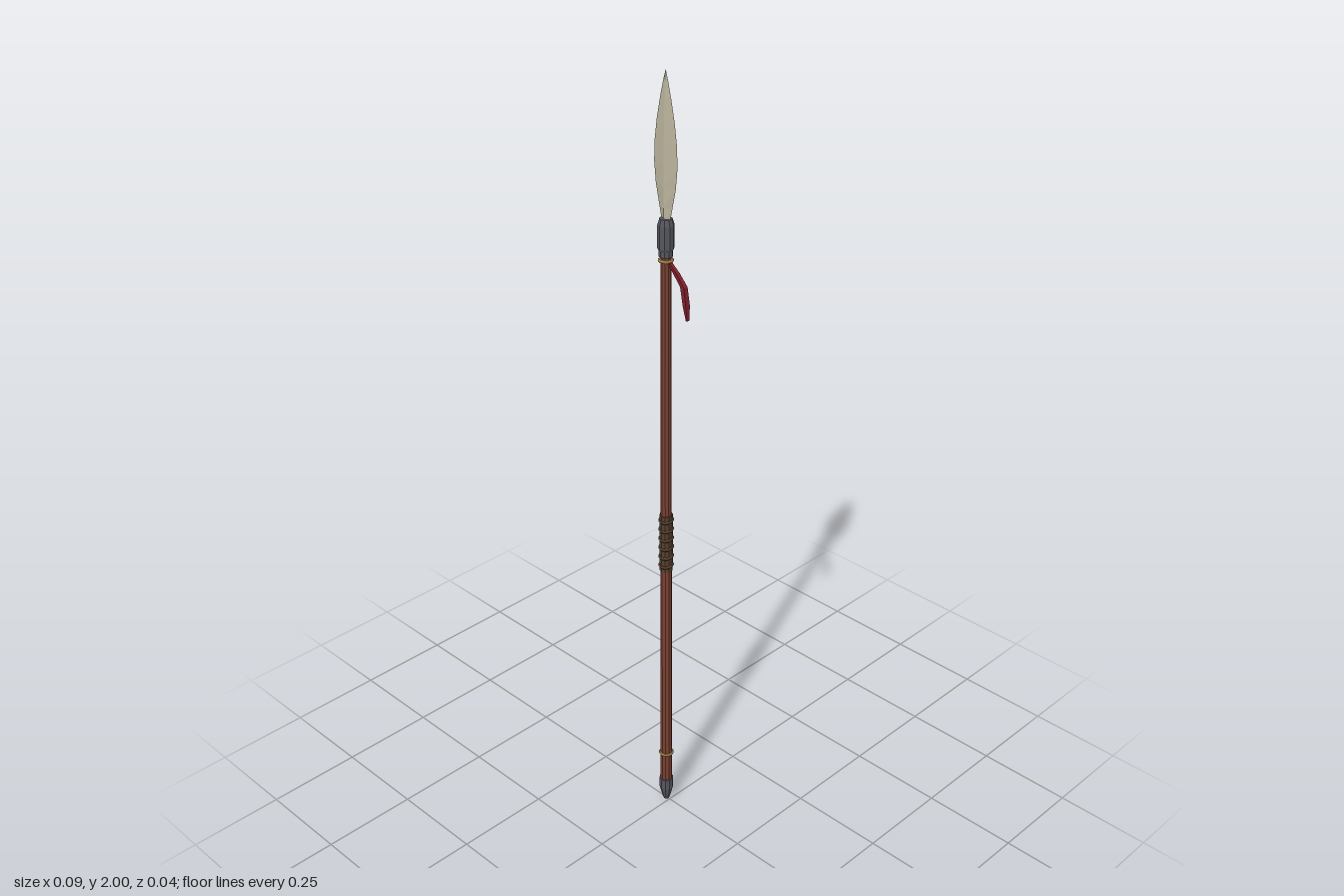
import * as THREE from 'three';

const AXIS_X = -0.012;

function mat(color, flat = true) {
  return new THREE.MeshStandardMaterial({ color, flatShading: flat });
}

// Skin a list of equal-length rings (counter-clockwise seen from the last ring), closing both ends.
function loft(rings) {
  const n = rings[0].length;
  const index = [];
  for (let r = 0; r < rings.length - 1; r++) {
    for (let i = 0; i < n; i++) {
      const a = r * n + i, b = r * n + (i + 1) % n;
      index.push(a, b, b + n, a, b + n, a + n);
    }
  }
  const last = (rings.length - 1) * n;
  for (let i = 1; i < n - 1; i++) {
    index.push(0, i + 1, i, last, last + i, last + i + 1);
  }
  const g = new THREE.BufferGeometry();
  g.setAttribute('position', new THREE.Float32BufferAttribute(rings.flat(2), 3));
  g.setIndex(index);
  g.computeVertexNormals();
  return g;
}

export function createModel() {
  const spear = new THREE.Group();
  spear.name = 'spear';
  const wood = mat(0x7a4030), iron = mat(0x55555e), brass = mat(0xb08a50);
  const leather = mat(0x54402f), steel = mat(0xb9b29c), cloth = mat(0x84202c);

  const add = (name, geometry, material, x = AXIS_X, y = 0) => {
    const mesh = new THREE.Mesh(geometry, material);
    mesh.name = name;
    mesh.position.set(x, y, 0);
    spear.add(mesh);
    return mesh;
  };
  const turned = (points) =>
    new THREE.LatheGeometry(points.map(([r, y]) => new THREE.Vector2(r, y)), 10);

  // Slightly tapering wooden shaft
  add('shaft', new THREE.CylinderGeometry(0.0125, 0.0155, 1.56, 10), wood, AXIS_X, 0.82);

  // Pointed iron foot
  add('buttCap', turned([[0, 0], [0.008, 0], [0.013, 0.018], [0.0185, 0.04],
    [0.0185, 0.07], [0, 0.07]]), iron);

  // Socket that holds the blade
  add('socket', turned([[0, 1.575], [0.0165, 1.575], [0.0165, 1.588], [0.0195, 1.595],
    [0.0195, 1.65], [0.015, 1.665], [0, 1.665]]), iron);

  // Brass bands
  for (const [name, y, r] of [['lowerBand', 0.156, 0.0155], ['upperBand', 1.565, 0.014]]) {
    add(name, new THREE.TorusGeometry(r, 0.0045, 6, 12).rotateX(Math.PI / 2), brass, AXIS_X, y);
  }

  // Leather grip: sleeve with wrapped coils
  add('gripSleeve', new THREE.CylinderGeometry(0.0165, 0.0165, 0.16, 10), leather, AXIS_X, 0.815);
  const coils = 6;
  for (let i = 0; i < coils; i++) {
    const coil = add('gripCoil', new THREE.TorusGeometry(0.0145, 0.005, 6, 12).rotateX(Math.PI / 2),
      leather, AXIS_X, 0.75 + i * 0.13 / (coils - 1));
    coil.rotation.x = 0.12;
  }

  // Leaf blade with a diamond section: height, half width, half thickness
  const leaf = [[1.65, 0.011, 0.007], [1.69, 0.02, 0.0075], [1.74, 0.031, 0.0075],
    [1.79, 0.036, 0.007], [1.84, 0.034, 0.0065], [1.89, 0.027, 0.0055],
    [1.94, 0.0165, 0.004], [1.98, 0.0065, 0.0025], [2, 0.0004, 0.0004]];
  add('blade', loft(leaf.map(([y, w, t]) => [[w, y, 0], [0, y, -t], [-w, y, 0], [0, y, t]])), steel);

  // Cloth streamer hanging from the upper band: x, y, z, half thickness, half depth
  const streamer = [[0.043, 1.428, -0.0145, 0.002, 0.004], [0.04, 1.465, -0.013, 0.005, 0.0065],
    [0.035, 1.51, -0.01, 0.006, 0.006], [0.016, 1.54, -0.005, 0.006, 0.005],
    [-0.003, 1.565, 0, 0.004, 0.004]];
  add('streamer', loft(streamer.map(([x, y, z, t, d]) => [
    [x + t, y, z + d], [x + t, y, z - d], [x - t, y, z - d], [x - t, y, z + d]])), cloth, 0);

  return spear;
}
